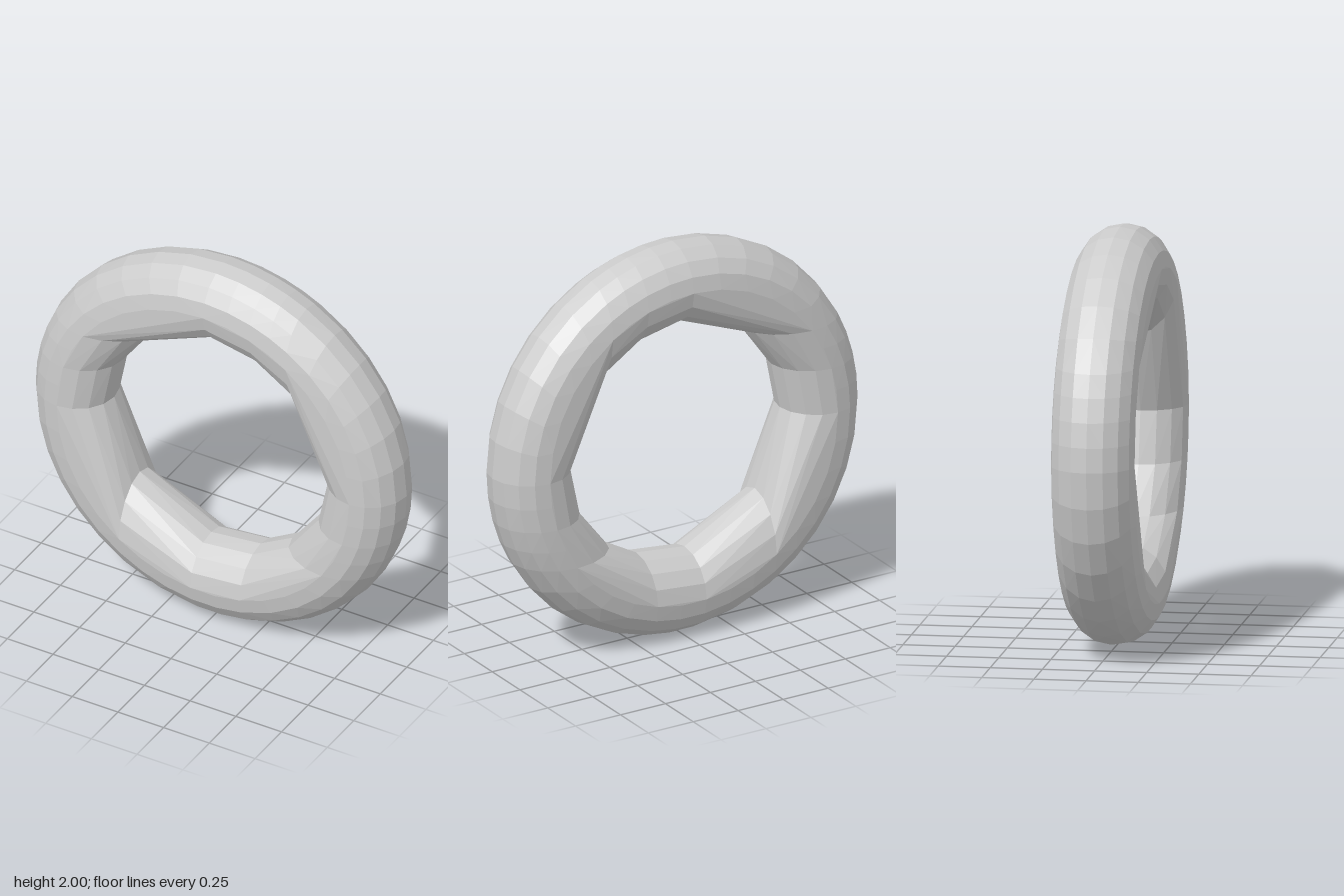
import * as THREE from 'three';
import { ConvexGeometry } from 'three/addons/geometries/ConvexGeometry.js';

const RING = 0.8, TUBE = 0.2, SIDES = 16, STEP = Math.PI / 17;

// Planes that divide the ring, clockwise from the top.
// Each is x = at (side: upper or lower half) or y = at (side: left or right half).
const CUTS = [
  { axis: 'x', at: 0, side: 1 }, { axis: 'x', at: 0.25, side: 1 }, { axis: 'x', at: 0.45, side: 1 },
  { axis: 'y', at: 0, side: 1 }, { axis: 'y', at: -0.25, side: 1 }, { axis: 'y', at: -0.47, side: 1 },
  { axis: 'x', at: 0.2, side: -1 }, { axis: 'x', at: -0.07, side: -1 }, { axis: 'x', at: -0.46, side: -1 },
  { axis: 'y', at: 0, side: -1 }, { axis: 'y', at: 0.235, side: -1 }, { axis: 'y', at: 0.455, side: -1 },
];

// Clockwise angle from the top where a circle of this radius meets a cut
function cutAngle({ axis, at, side }, radius) {
  const other = side * Math.sqrt(radius * radius - at * at);
  const angle = axis === 'x' ? Math.atan2(at, other) : Math.atan2(other, at);
  return angle < 0 ? angle + Math.PI * 2 : angle;
}

// Convex hull around the stretch of ring between two cuts
function segmentGeometry(from, to) {
  const points = [];
  for (let i = 0; i < SIDES; i++) {
    const phi = (i / SIDES) * Math.PI * 2;
    const radius = RING + TUBE * Math.cos(phi);
    const start = cutAngle(from, radius);
    let end = cutAngle(to, radius);
    if (end < start) end += Math.PI * 2;
    const steps = Math.max(2, Math.round((end - start) / STEP));
    for (let j = 0; j <= steps; j++) {
      const a = start + ((end - start) * j) / steps;
      points.push(new THREE.Vector3(radius * Math.sin(a), 1 + radius * Math.cos(a), TUBE * Math.sin(phi)));
    }
  }
  return new ConvexGeometry(points);
}

export function createModel() {
  const model = new THREE.Group();
  model.name = 'ring';
  const material = new THREE.MeshStandardMaterial({ color: 0xcccccc, flatShading: true });
  CUTS.forEach((cut, i) => {
    const mesh = new THREE.Mesh(segmentGeometry(cut, CUTS[(i + 1) % CUTS.length]), material);
    mesh.name = `ringSegment${i + 1}`;
    model.add(mesh);
  });
  return model;
}
